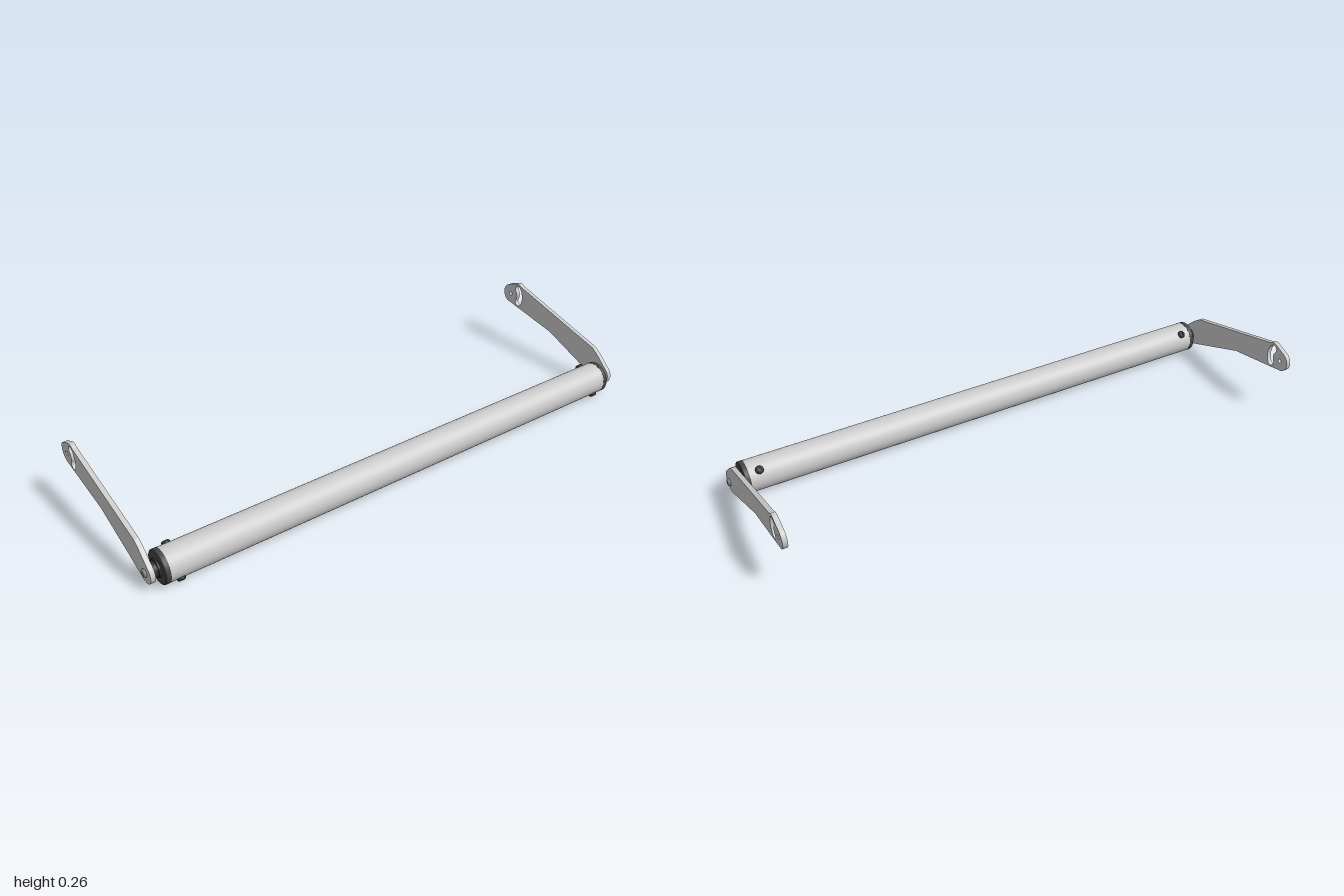
import * as THREE from 'three';

const AXIS_Y = 0.0585, AXIS_Z = 0.2515, R = 0.0585;
const ARM_IN = 0.974, ARM_OUT = 0.991;

const grey = new THREE.MeshStandardMaterial({ color: 0xcccccc });
const dark = new THREE.MeshStandardMaterial({ color: 0x444444 });
const black = new THREE.MeshStandardMaterial({ color: 0x2b2d30 });
const steel = new THREE.MeshStandardMaterial({ color: 0x7a8894, side: THREE.DoubleSide });

function add(parent, name, geometry, material) {
  const mesh = new THREE.Mesh(geometry, material);
  mesh.name = name;
  parent.add(mesh);
  return mesh;
}

// Solid of revolution from [radius, height] pairs, each segment with its own hard edge
function turned(points, segments = 48) {
  const pts = [];
  points.forEach(([r, h], i) => {
    const p = new THREE.Vector2(r, h);
    pts.push(p);
    if (i > 0 && i < points.length - 1) pts.push(p.clone());
  });
  return new THREE.LatheGeometry(pts, segments);
}

// Arm plate outline; shape x runs towards the back, y runs up
function armGeometry() {
  const s = new THREE.Shape();
  const px = 0.27, py = 0.202;
  s.moveTo(-0.199, 0.037);
  s.lineTo(0.033, 0.124);
  s.lineTo(0.277, 0.1642);
  s.absarc(px, py, 0.039, -1.4, 1.08, false);
  s.absarc(0.231, 0.232, 0.027, 1.13, 2.3, false);
  s.lineTo(-0.199, 0.152);
  s.lineTo(-0.225, 0.134);
  s.absarc(-AXIS_Z, AXIS_Y + 0.001, 0.0385, 2.23, 5.07, false);
  s.closePath();

  // Pivot hole
  const hole = new THREE.Path();
  hole.absarc(px, py, 0.008, 0, Math.PI * 2, true);

  // Curved slot around the pivot
  const slot = new THREE.Path();
  const r = 0.051, w = 0.015, a0 = 2.455, a1 = 3.65;
  slot.absarc(px, py, r + w, a0, a1, false);
  slot.absarc(px + r * Math.cos(a1), py + r * Math.sin(a1), w, a1, a1 + Math.PI, false);
  slot.absarc(px, py, r - w, a1, a0, true);
  slot.absarc(px + r * Math.cos(a0), py + r * Math.sin(a0), w, a0 + Math.PI, a0 + 2 * Math.PI, false);
  s.holes.push(hole, slot);

  return new THREE.ExtrudeGeometry(s, { depth: ARM_OUT - ARM_IN, bevelEnabled: false, curveSegments: 24 });
}

// Button-head bolt with a hexagonal socket, pointing along +y from y = 0
function buttonBolt(name, radius, height, material) {
  const bolt = new THREE.Group();
  bolt.name = name;
  const inner = radius * 0.5, depth = height * 0.6;
  const dome = [new THREE.Vector2(radius, 0)];
  for (let i = 0; i <= 6; i++) {
    const a = (i / 6) * Math.PI / 2;
    dome.push(new THREE.Vector2(inner + (radius - inner) * Math.cos(a), height * (0.2 + 0.8 * Math.sin(a))));
  }
  add(bolt, 'boltDome', new THREE.LatheGeometry(dome, 32), material);

  const rim = new THREE.Shape().absarc(0, 0, inner, 0, Math.PI * 2, false);
  const hex = new THREE.Path();
  for (let i = 0; i < 6; i++) {
    const a = -i * Math.PI / 3;
    hex[i ? 'lineTo' : 'moveTo'](inner * 0.9 * Math.sin(a), inner * 0.9 * Math.cos(a));
  }
  hex.closePath();
  rim.holes.push(hex);
  const face = add(bolt, 'boltFace', new THREE.ShapeGeometry(rim, 16), material);
  face.rotation.x = -Math.PI / 2;
  face.position.y = height;

  const wallMaterial = material.clone();
  wallMaterial.side = THREE.DoubleSide;
  wallMaterial.flatShading = true;
  const wall = add(bolt, 'socketWall', new THREE.CylinderGeometry(inner * 0.9, inner * 0.9, depth, 6, 1, true), wallMaterial);
  wall.position.y = height - depth / 2;
  const floor = add(bolt, 'socketFloor', new THREE.CircleGeometry(inner, 16), material);
  floor.rotation.x = -Math.PI / 2;
  floor.position.y = height - depth;
  return bolt;
}

export function createModel() {
  const model = new THREE.Group();
  model.name = 'rollerWithArms';

  // Roller tube
  const tube = add(model, 'rollerTube', new THREE.CylinderGeometry(R - 0.0005, R - 0.0005, 1.87, 64), grey);
  tube.rotation.z = Math.PI / 2;
  tube.position.set(0, AXIS_Y, AXIS_Z);

  const plate = armGeometry();
  for (const side of [-1, 1]) {
    const label = side > 0 ? 'left' : 'right';

    // Arm plate
    const arm = add(model, label + 'Arm', plate, grey);
    arm.rotation.y = Math.PI / 2;
    arm.position.x = side > 0 ? ARM_IN : -ARM_OUT;

    // Turned end parts, with local +y pointing outwards along the roller axis
    const end = new THREE.Group();
    end.name = label + 'End';
    end.rotation.z = -side * Math.PI / 2;
    end.position.set(0, AXIS_Y, AXIS_Z);
    model.add(end);
    add(end, 'endCap', turned([
      [0, 0.932], [R, 0.932], [R, 0.948], [R - 0.003, 0.951], [0.034, 0.951], [0, 0.951],
    ], 64), dark);
    add(end, 'hub', turned([
      [0.032, 0.95], [0.032, 0.958], [0.027, 0.958], [0.027, ARM_IN], [0, ARM_IN],
    ]), black);
    const bolt = buttonBolt('armBolt', 0.0145, 0.009, steel);
    bolt.position.y = ARM_OUT;
    end.add(bolt);

    // Cap retaining screws on opposite sides of the tube
    for (const dir of [1, -1]) {
      const d = new THREE.Vector3(0, -0.71 * dir, 0.71 * dir).normalize();
      const screw = buttonBolt(label + (dir > 0 ? 'FrontScrew' : 'BackScrew'), 0.0145, 0.01, black);
      screw.quaternion.setFromUnitVectors(new THREE.Vector3(0, 1, 0), d);
      screw.position.set(side * 0.895, AXIS_Y, AXIS_Z).addScaledVector(d, R - 0.002);
      model.add(screw);
    }
  }
  return model;
}
